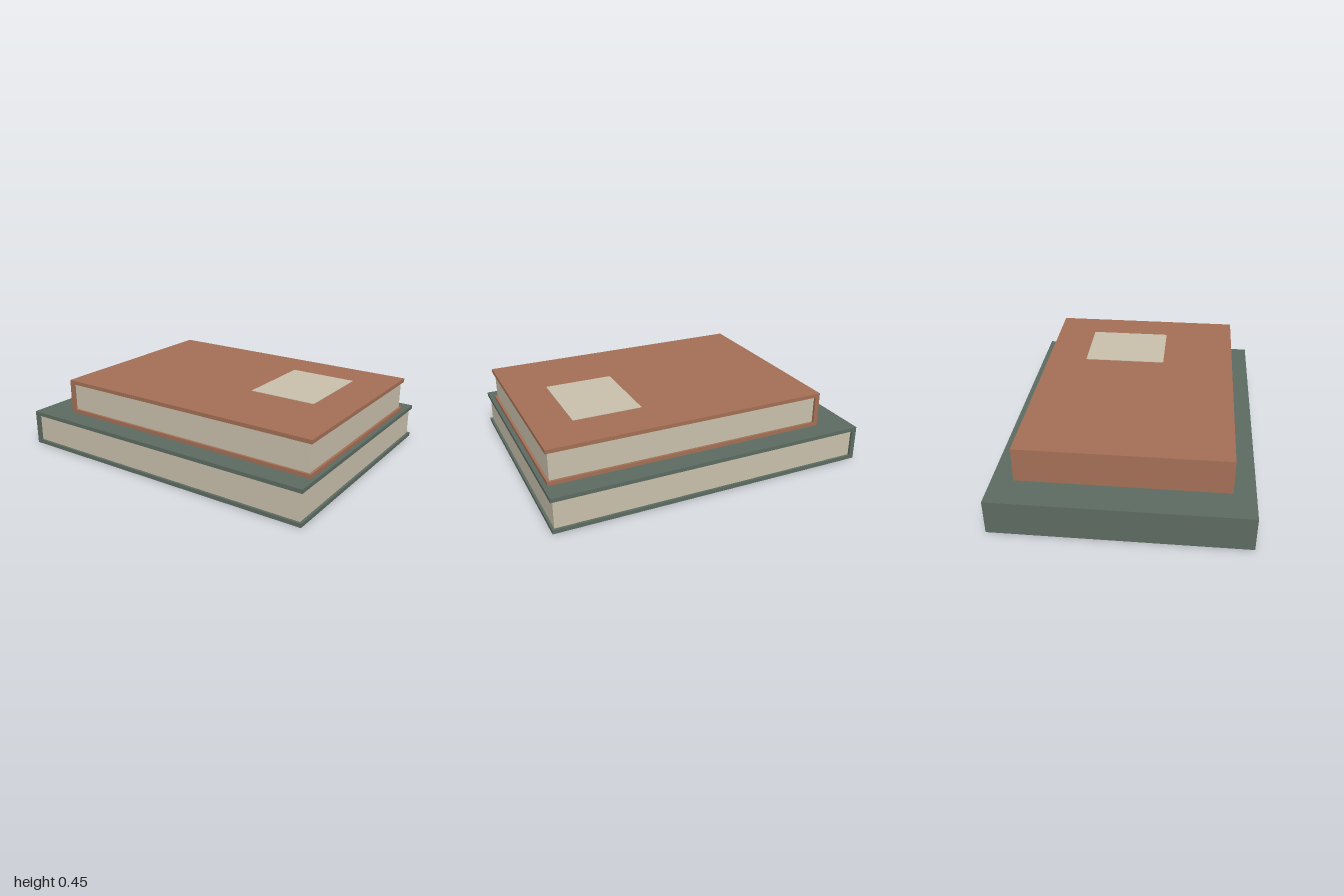
import * as THREE from 'three';

const mat = (name, color) => {
  const m = new THREE.MeshStandardMaterial({ color });
  m.name = name;
  return m;
};

// Box given by its minimum and maximum corners
function block(name, material, [x0, y0, z0], [x1, y1, z1]) {
  const mesh = new THREE.Mesh(new THREE.BoxGeometry(x1 - x0, y1 - y0, z1 - z0), material);
  mesh.position.set((x0 + x1) / 2, (y0 + y1) / 2, (z0 + z1) / 2);
  mesh.name = name;
  return mesh;
}

// Closed book lying flat, spine towards -x
function book(name, coverMat, paperMat, { x0, x1, y0, y1, halfZ, board, spine, inset }) {
  const group = new THREE.Group();
  group.name = name;

  // C-shaped case: two boards joined by the spine
  const profile = new THREE.Shape([
    [x0, y0], [x1, y0], [x1, y0 + board], [x0 + spine, y0 + board],
    [x0 + spine, y1 - board], [x1, y1 - board], [x1, y1], [x0, y1],
  ].map(([x, y]) => new THREE.Vector2(x, y)));
  const geometry = new THREE.ExtrudeGeometry(profile, { depth: halfZ * 2, bevelEnabled: false });
  geometry.translate(0, 0, -halfZ);
  const cover = new THREE.Mesh(geometry, coverMat);
  cover.name = 'cover';

  // Page block, set back from the edges of the boards
  const pages = block('pages', paperMat,
    [x0 + spine, y0 + board, -halfZ + inset], [x1 - inset, y1 - board, halfZ - inset]);
  group.add(cover, pages);
  return group;
}

export function createModel() {
  const green = mat('green cloth', 0x5c6b61);
  const brown = mat('terracotta cloth', 0xa46f55);
  const paper = mat('paper', 0xc9c0ac);

  const model = new THREE.Group();
  model.name = 'bookStack';
  model.add(
    book('lowerBook', green, paper,
      { x0: -1, x1: 1, y0: 0, y1: 0.22, halfZ: 0.764, board: 0.024, spine: 0.03, inset: 0.015 }),
    book('upperBook', brown, paper,
      { x0: -0.79, x1: 0.975, y0: 0.22, y1: 0.44, halfZ: 0.633, board: 0.024, spine: 0.03, inset: 0.015 }),
    // Loose slip of paper on the upper book
    block('noteCard', paper, [0.305, 0.446, -0.368], [0.733, 0.449, 0.163]),
  );
  return model;
}
